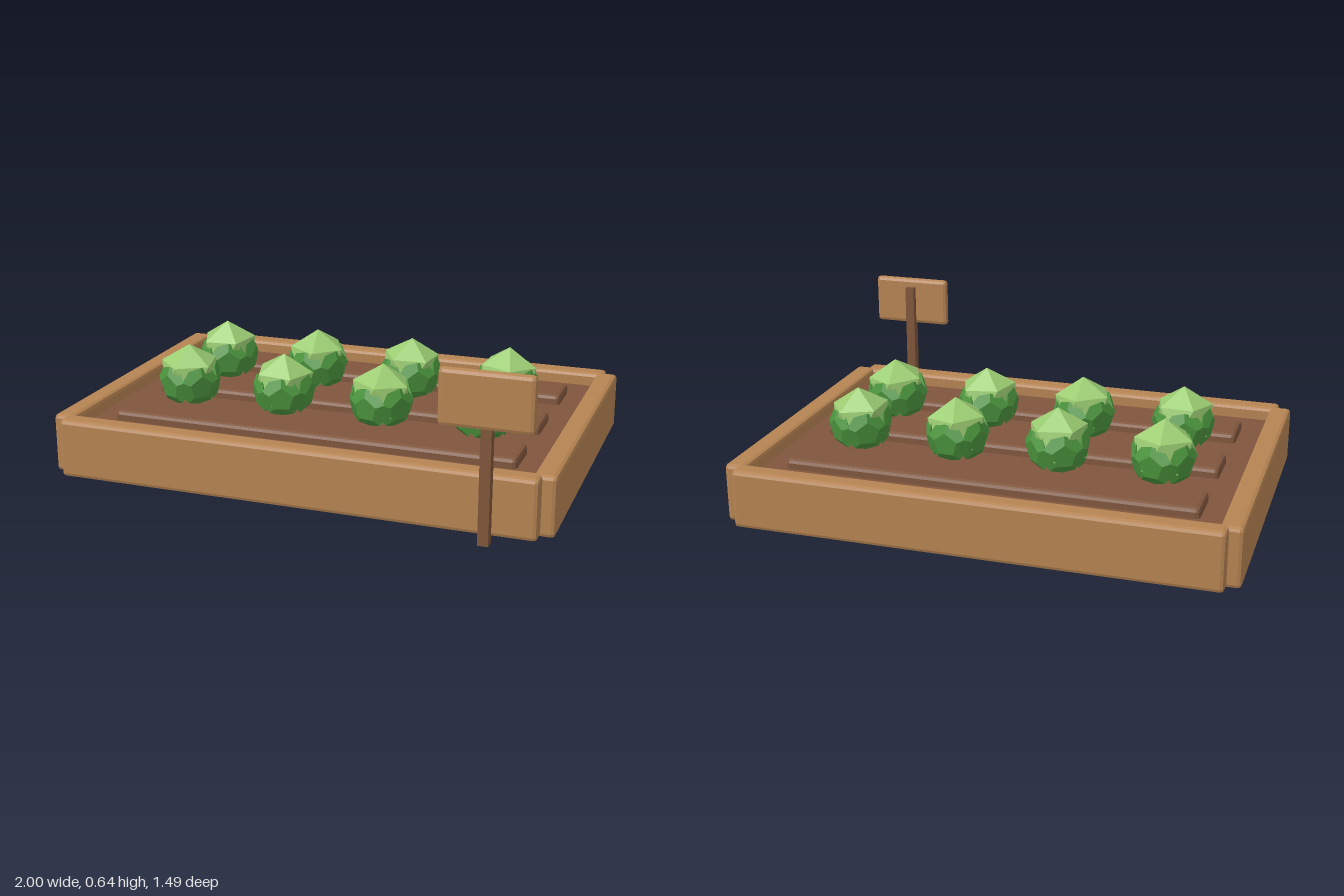
import * as THREE from 'three';
import { RoundedBoxGeometry } from 'three/addons/geometries/RoundedBoxGeometry.js';

const PHI = (1 + Math.sqrt(5)) / 2;

function makeMaterial(name, color) {
  const m = new THREE.MeshStandardMaterial({ color, flatShading: true });
  m.name = name;
  return m;
}

export function createModel() {
  const wood = makeMaterial('wood', 0xb58352);
  const darkWood = makeMaterial('darkWood', 0x7f5539);
  const soil = makeMaterial('soil', 0x80563d);
  const headGreen = makeMaterial('headGreen', 0x9bcc72);
  const leafGreen = makeMaterial('leafGreen', 0x4c963e);

  const model = new THREE.Group();
  model.name = 'gardenBed';

  // Box given by its limits, with an optional chamfer
  function box(name, material, [x0, x1], [y0, y1], [z0, z1], bevel = 0) {
    const size = [x1 - x0, y1 - y0, z1 - z0];
    const geometry = bevel
      ? new RoundedBoxGeometry(...size, 1, bevel)
      : new THREE.BoxGeometry(...size);
    const mesh = new THREE.Mesh(geometry, material);
    mesh.name = name;
    mesh.position.set((x0 + x1) / 2, (y0 + y1) / 2, (z0 + z1) / 2);
    model.add(mesh);
  }

  // Plank frame
  const height = [0.005, 0.24];
  box('frontPlank', wood, [-0.947, 0.947], height, [0.56, 0.645], 0.016);
  box('backPlank', wood, [-0.947, 0.947], height, [-0.745, -0.66], 0.016);
  box('leftPlank', wood, [0.913, 1], height, [-0.693, 0.593], 0.016);
  box('rightPlank', wood, [-1, -0.913], height, [-0.693, 0.593], 0.016);

  // Soil and its raised rows
  box('soilBed', soil, [-0.92, 0.92], [0.025, 0.185], [-0.67, 0.57]);
  for (const z of [-0.445, -0.055, 0.335]) {
    box('soilRow', soil, [-0.818, 0.818], [0.15, 0.225], [z - 0.094, z + 0.094], 0.016);
  }

  // Sign on a post
  box('signPost', darkWood, [0.752, 0.792], [0, 0.605], [0.683, 0.722]);
  box('signBoard', wood, [0.602, 0.944], [0.433, 0.643], [0.708, 0.745], 0.016);

  // Cabbage head with one corner pointing up
  const headGeometry = new THREE.IcosahedronGeometry(0.13, 0);
  headGeometry.rotateX(-Math.atan(PHI));

  // Thick five-sided leaf facing +z
  const leafGeometry = new THREE.DodecahedronGeometry(0.084, 0);
  leafGeometry.rotateY(-Math.atan(1 / PHI));
  leafGeometry.rotateZ(Math.PI / 2);
  leafGeometry.scale(1, 1, 0.35);
  leafGeometry.rotateX(0.15);

  function cabbage(x, z, turn) {
    const plant = new THREE.Group();
    plant.name = 'cabbage';
    const head = new THREE.Mesh(headGeometry, headGreen);
    head.name = 'cabbageHead';
    head.position.y = 0.315;
    head.rotation.set(0.04, 0.3, 0.03);
    plant.add(head);
    for (let i = 0; i < 5; i++) {
      const a = (i / 5) * Math.PI * 2;
      const leaf = new THREE.Mesh(leafGeometry, leafGreen);
      leaf.name = 'cabbageLeaf';
      leaf.position.set(Math.sin(a) * 0.092, 0.288, Math.cos(a) * 0.092);
      leaf.rotation.y = a;
      plant.add(leaf);
    }
    plant.position.set(x, 0, z);
    plant.rotation.y = turn;
    model.add(plant);
  }

  // Two rows of four cabbages
  [-0.245, 0.143].forEach((z, row) => {
    [-0.62, -0.206, 0.208, 0.62].forEach((x, i) => {
      cabbage(x, z, 0.4 + i * 0.7 + row * 0.45);
    });
  });

  return model;
}
